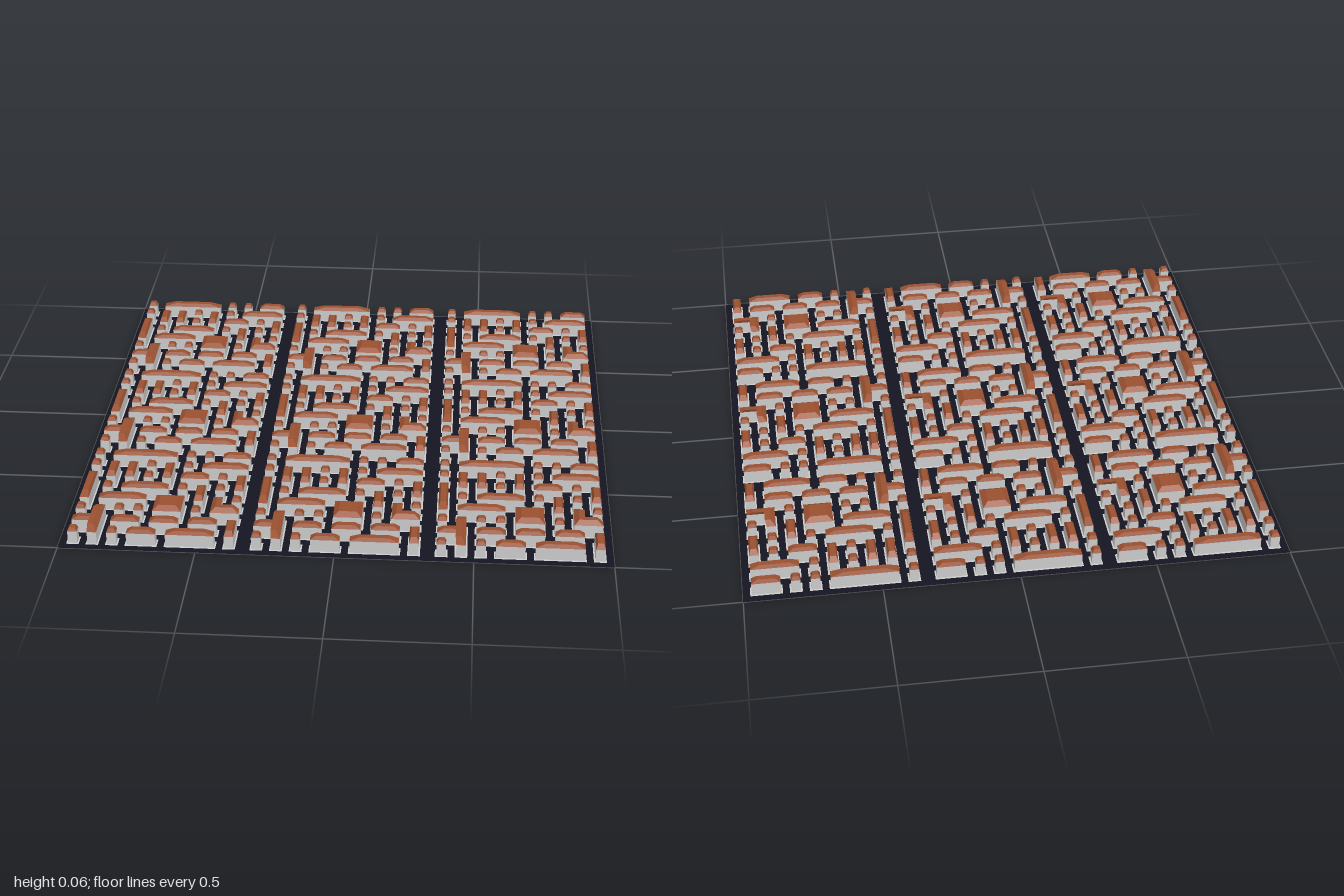
import * as THREE from 'three';

const TILE = 2 / 3, PITCH_X = 0.071, PITCH_Z = 0.08;
const KERB = [0.023, 0.025], WALL = [0.0172, 0.0172];
const EAVE_Y = 0.048, ROOF_Y = 0.062, ROOF_SCALE = 0.62;

// Rectangular blocks: first column, first row, columns, rows
const BLOCKS = [
  [0, 0, 1, 1], [1, 0, 4, 1], [5, 0, 1, 1], [6, 0, 1, 1], [7, 0, 2, 1],
  [0, 1, 1, 1], [1, 1, 1, 2], [2, 1, 1, 2], [3, 1, 1, 1], [4, 1, 1, 2], [5, 1, 1, 1], [6, 1, 3, 1],
  [0, 2, 1, 3], [3, 2, 1, 1], [5, 2, 2, 1], [7, 2, 1, 1], [8, 2, 1, 2],
  [1, 3, 1, 1], [2, 3, 3, 1], [5, 3, 1, 1], [6, 3, 1, 2], [7, 3, 1, 1],
  [1, 4, 3, 1], [4, 4, 2, 2], [8, 4, 1, 1],
  [0, 5, 1, 1], [2, 5, 1, 1], [3, 5, 1, 1], [6, 5, 1, 1],
  [2, 6, 2, 1], [4, 6, 2, 1], [6, 6, 2, 1], [8, 6, 1, 2],
  [0, 7, 1, 1], [2, 7, 1, 1], [3, 7, 2, 1], [5, 7, 3, 1],
];

// Corners are column, row and the side of the cell (x, z), counter-clockwise from above
const rectangle = ([c, r, w, h]) => [
  [c, r + h - 1, -1, 1], [c + w - 1, r + h - 1, 1, 1], [c + w - 1, r, 1, -1], [c, r, -1, -1],
];
const ELL = [[7, 5, -1, 1], [8, 5, 1, 1], [8, 5, 1, -1], [7, 5, 1, -1], [7, 4, 1, -1], [7, 4, -1, -1]];
const TEE = [
  [1, 7, -1, 1], [1, 7, 1, 1], [1, 5, 1, -1], [1, 5, -1, -1],
  [1, 6, -1, -1], [0, 6, -1, -1], [0, 6, -1, 1], [1, 6, -1, 1],
];
const FOOTPRINTS = [...BLOCKS.map(rectangle), ELL, TEE];

// Outline in plan, with y of the 2D points pointing to -z
function outline(corners, half) {
  return corners.map(([c, r, sx, sz]) => new THREE.Vector2(
    (c - 4) * PITCH_X + sx * half[0], -((r - 3.5) * PITCH_Z + sz * half[1])));
}

function shrink(loop, k) {
  const mid = loop.reduce((s, p) => s.add(p), new THREE.Vector2()).divideScalar(loop.length);
  return loop.map((p) => p.clone().sub(mid).multiplyScalar(k).add(mid));
}

const put = (out, p, y) => out.push(p.x, y, -p.y);

// Band of quads between two loops
function band(out, low, y0, high, y1) {
  low.forEach((a, i) => {
    const j = (i + 1) % low.length;
    put(out, a, y0); put(out, low[j], y0); put(out, high[j], y1);
    put(out, a, y0); put(out, high[j], y1); put(out, high[i], y1);
  });
}

function cap(out, loop, y) {
  for (const face of THREE.ShapeUtils.triangulateShape(loop, [])) {
    for (const i of face) put(out, loop[i], y);
  }
}

function toGeometry(positions) {
  const geometry = new THREE.BufferGeometry();
  geometry.setAttribute('position', new THREE.Float32BufferAttribute(positions, 3));
  geometry.computeVertexNormals();
  return geometry;
}

export function createModel() {
  const material = (color) => new THREE.MeshStandardMaterial({ color, side: THREE.DoubleSide, flatShading: true });
  const dark = material(0x151522), grey = material(0xcccccc), brown = material(0x9a5030);

  // Street surface, open under every building
  const h = TILE / 2;
  const street = new THREE.Shape([[-h, -h], [h, -h], [h, h], [-h, h]].map(([x, y]) => new THREE.Vector2(x, y)));
  const walls = [], roofs = [];
  for (const corners of FOOTPRINTS) {
    const kerb = outline(corners, KERB), wall = outline(corners, WALL), top = shrink(wall, ROOF_SCALE);
    street.holes.push(new THREE.Path(kerb));
    band(walls, kerb, 0, wall, 0);
    band(walls, wall, 0, wall, EAVE_Y);
    band(roofs, wall, EAVE_Y, top, ROOF_Y);
    cap(roofs, top, ROOF_Y);
  }
  const parts = [
    ['streets', new THREE.ShapeGeometry(street).rotateX(-Math.PI / 2), dark],
    ['kerbsAndWalls', toGeometry(walls), grey],
    ['roofs', toGeometry(roofs), brown],
  ];

  // Three by three repeat of the district
  const model = new THREE.Group();
  model.name = 'cityBlocks';
  for (let row = -1; row <= 1; row++) {
    for (let col = -1; col <= 1; col++) {
      const district = new THREE.Group();
      district.name = 'district';
      district.position.set(col * TILE, 0, row * TILE);
      for (const [name, geometry, mat] of parts) {
        const mesh = new THREE.Mesh(geometry, mat);
        mesh.name = name;
        district.add(mesh);
      }
      model.add(district);
    }
  }
  return model;
}
